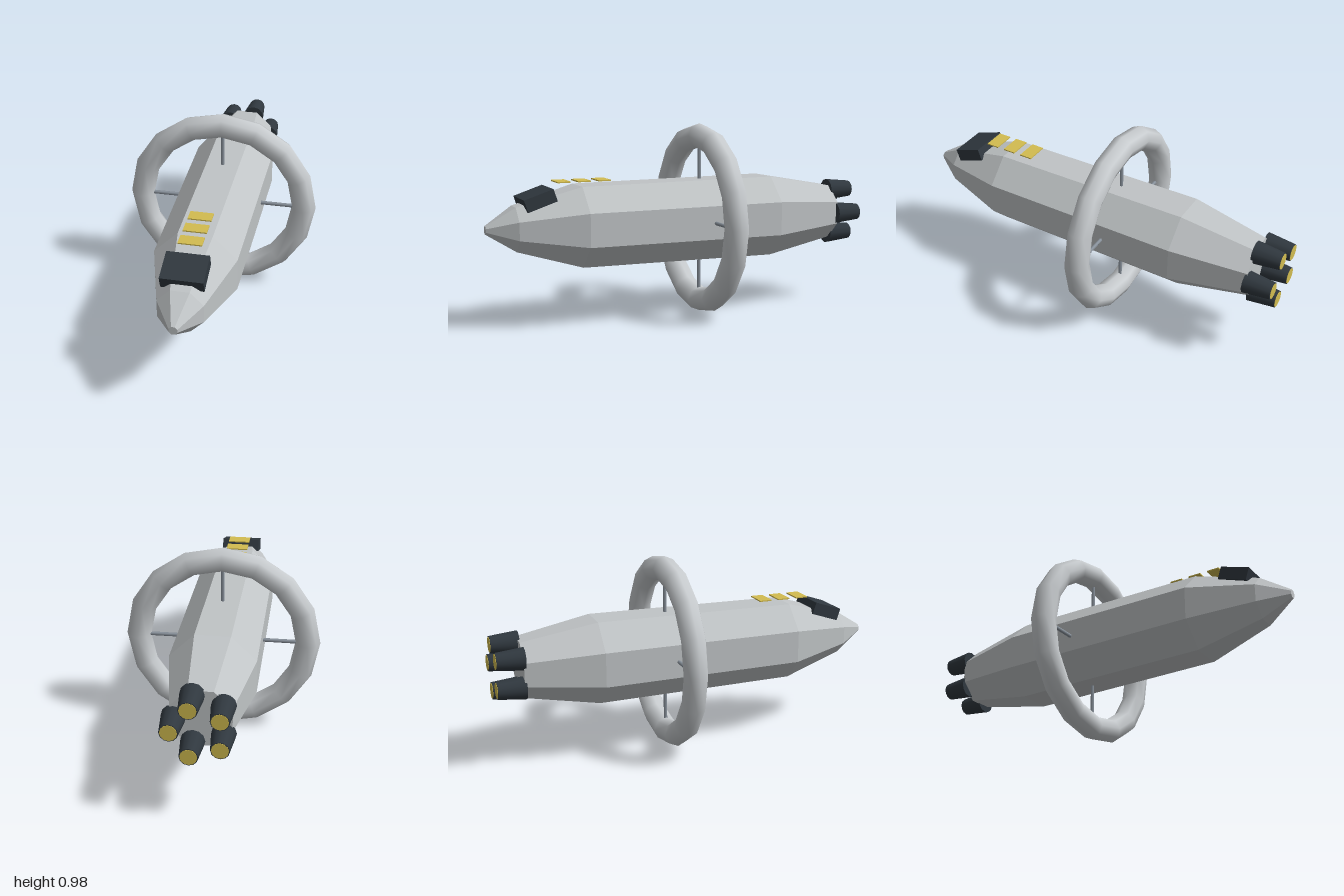
import * as THREE from 'three';

const paint = (name, color, flatShading = false) => {
  const m = new THREE.MeshStandardMaterial({ color, flatShading });
  m.name = name;
  return m;
};

// Octagonal hull lofted through sections [z, centre y, apothem], front to back
function hullGeometry(sections, sides = 8) {
  const pos = [], index = [];
  for (const [z, cy, apothem] of sections) {
    const r = apothem / Math.cos(Math.PI / sides);
    for (let i = 0; i < sides; i++) {
      const a = ((i + 0.5) / sides) * Math.PI * 2;
      pos.push(r * Math.cos(a), cy + r * Math.sin(a), z);
    }
  }
  for (let s = 0; s < sections.length - 1; s++) {
    for (let i = 0; i < sides; i++) {
      const j = (i + 1) % sides, a = s * sides, b = a + sides;
      index.push(a + i, b + i, b + j, a + i, b + j, a + j);
    }
  }
  // End caps
  const last = (sections.length - 1) * sides;
  for (let i = 1; i < sides - 1; i++) {
    index.push(0, i, i + 1, last, last + i + 1, last + i);
  }
  const g = new THREE.BufferGeometry();
  g.setAttribute('position', new THREE.Float32BufferAttribute(pos, 3));
  g.setIndex(index);
  const flat = g.toNonIndexed();
  flat.computeVertexNormals();
  return flat;
}

export function createModel() {
  const hullGrey = paint('hull grey', 0xc0c4c6, true);
  const ringGrey = paint('ring grey', 0xc8cccf);
  const strutGrey = paint('strut grey', 0x8b949e);
  const dark = paint('dark slate', 0x30383f);
  const yellow = paint('warm yellow', 0xd2bc50);

  const model = new THREE.Group();
  model.name = 'spaceship';
  const add = (name, geometry, material, x, y, z, parent = model) => {
    const mesh = new THREE.Mesh(geometry, material);
    mesh.name = name;
    mesh.position.set(x, y, z);
    parent.add(mesh);
    return mesh;
  };
  const axisY = 0.491, ringZ = -0.117;

  // Faceted hull
  add('hull', hullGeometry([
    [1.0, 0.498, 0.02],
    [0.86, 0.497, 0.107],
    [0.54, 0.494, 0.198],
    [-0.49, 0.492, 0.207],
    [-0.87, 0.492, 0.139],
  ]), hullGrey, 0, 0, 0);

  // Habitat ring and its four spokes
  add('habitatRing', new THREE.TorusGeometry(0.427, 0.062, 8, 16), ringGrey, 0, axisY, ringZ);
  const spokes = new THREE.Group();
  spokes.name = 'spokes';
  spokes.position.set(0, axisY, ringZ);
  model.add(spokes);
  const spokeGeometry = new THREE.CylinderGeometry(0.0095, 0.0095, 0.25, 6);
  for (let i = 0; i < 4; i++) {
    const a = (i * Math.PI) / 2;
    const spoke = add('spoke', spokeGeometry, strutGrey, 0.275 * Math.cos(a), 0.275 * Math.sin(a), 0, spokes);
    spoke.rotation.z = a - Math.PI / 2;
  }

  // Bridge block leaning along the nose
  const bridge = add('bridge', new THREE.BoxGeometry(0.2, 0.063, 0.152), dark, 0, 0.637, 0.752);
  bridge.rotation.x = 0.32;

  // Row of deck windows
  for (const z of [0.418, 0.521, 0.624]) {
    add('deckWindow', new THREE.BoxGeometry(0.113, 0.006, 0.065), yellow, 0, 0.715, z);
  }

  // Five engines in a circle, each with a glowing nozzle
  const engineGeometry = new THREE.CylinderGeometry(0.057, 0.043, 0.138, 12).rotateX(Math.PI / 2);
  const glowGeometry = new THREE.CylinderGeometry(0.039, 0.039, 0.006, 12).rotateX(Math.PI / 2);
  for (let i = 0; i < 5; i++) {
    const a = (i / 5) * Math.PI * 2;
    const engine = new THREE.Group();
    engine.name = 'engine';
    engine.position.set(0.123 * Math.cos(a), axisY + 0.123 * Math.sin(a), 0);
    model.add(engine);
    add('engineBell', engineGeometry, dark, 0, 0, -0.929, engine);
    add('engineGlow', glowGeometry, yellow, 0, 0, -0.997, engine);
  }

  return model;
}
